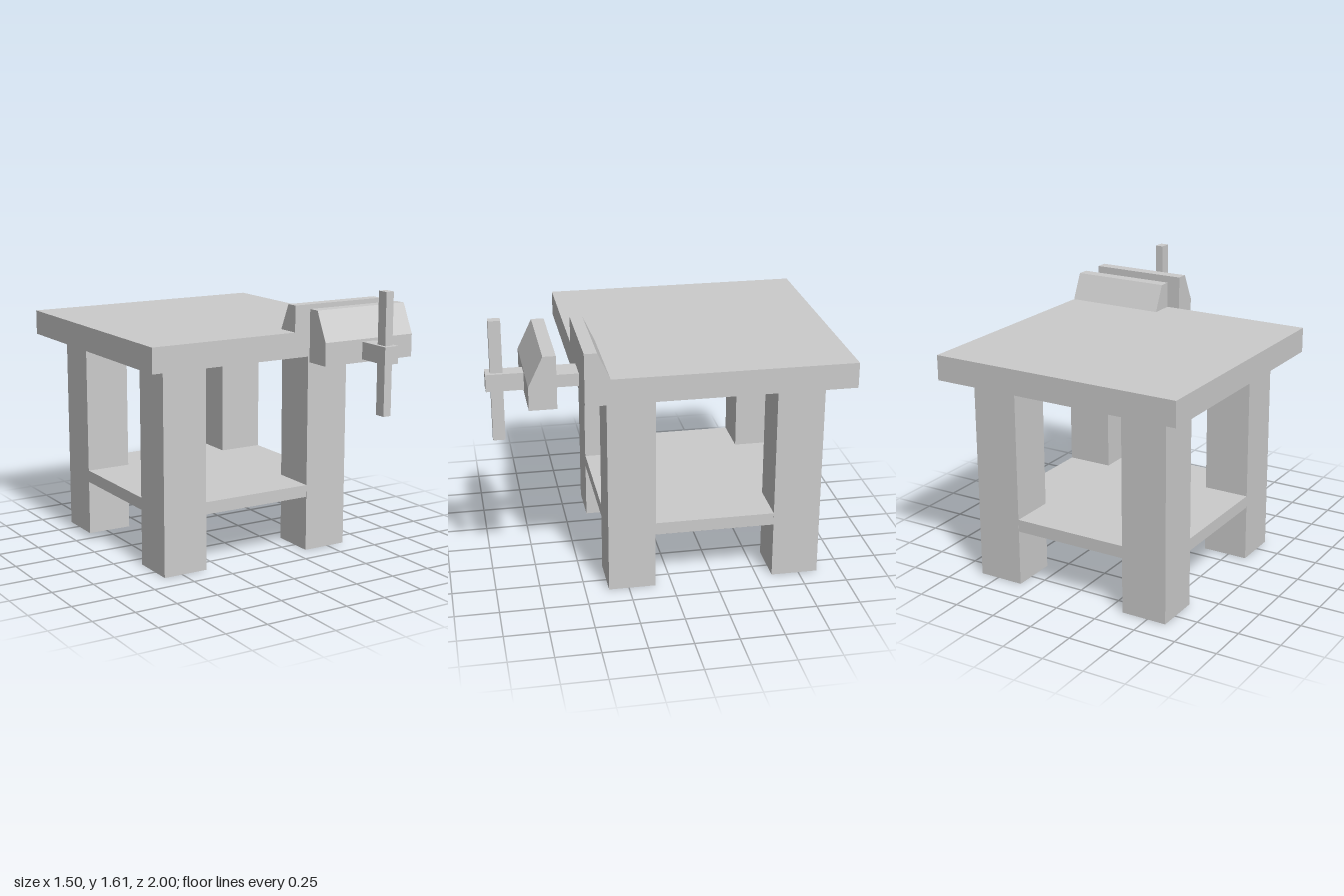
import * as THREE from 'three';

const material = new THREE.MeshStandardMaterial({ color: 0xcccccc, flatShading: true });

export function createModel() {
  const bench = new THREE.Group();
  bench.name = 'workbench';

  const add = (name, geometry) => {
    const mesh = new THREE.Mesh(geometry, material);
    mesh.name = name;
    bench.add(mesh);
  };

  // Box given by its extents along each axis
  const box = (name, [x0, x1], [y0, y1], [z0, z1]) => {
    const geometry = new THREE.BoxGeometry(x1 - x0, y1 - y0, z1 - z0);
    geometry.translate((x0 + x1) / 2, (y0 + y1) / 2, (z0 + z1) / 2);
    add(name, geometry);
  };

  // Side profile of [z, y] points, extruded across x
  const jaw = (name, profile, [x0, x1]) => {
    const shape = new THREE.Shape(profile.map(([z, y]) => new THREE.Vector2(-z, y)));
    const geometry = new THREE.ExtrudeGeometry(shape, { depth: x1 - x0, bevelEnabled: false });
    geometry.rotateY(Math.PI / 2);
    geometry.translate(x0, 0, 0);
    add(name, geometry);
  };

  // Table
  box('tableTop', [-0.75, 0.75], [1.2, 1.345], [-1, 0.5]);
  for (const [side, x] of [['Right', [-0.613, -0.342]], ['Left', [0.342, 0.613]]]) {
    box('front' + side + 'Leg', x, [0, 1.2], [0.095, 0.365]);
    box('back' + side + 'Leg', x, [0, 1.2], [-0.86, -0.59]);
  }
  box('shelf', [-0.612, 0.612], [0.328, 0.4], [-0.859, 0.364]);

  // Vise jaws, each with a sloping outer face
  const jawWidth = [0.158, 0.75];
  jaw('fixedJaw', [[0.5, 1.345], [0.36, 1.345], [0.43, 1.497], [0.5, 1.497]], jawWidth);
  jaw('movingJaw', [[0.795, 1.2], [0.645, 1.2], [0.645, 1.497], [0.715, 1.497], [0.795, 1.33]], jawWidth);

  // Vise slide, screw and handle
  box('viseSlide', [0.375, 0.525], [1.23, 1.302], [0.5, 0.645]);
  box('viseScrew', [0.406, 0.496], [1.217, 1.315], [0.795, 1]);
  box('viseHandle', [0.427, 0.476], [0.922, 1.61], [0.905, 0.972]);

  return bench;
}
